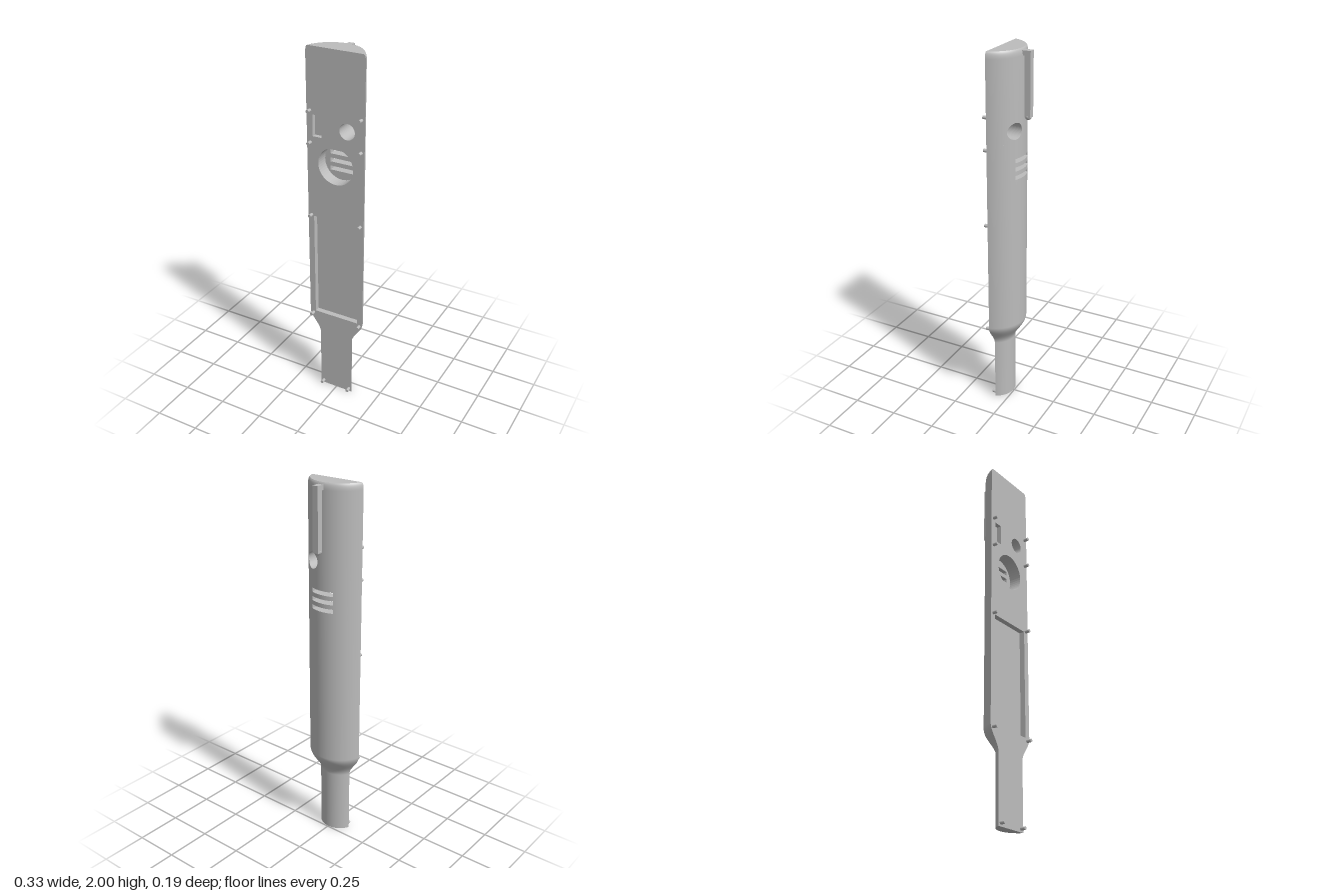
import * as THREE from 'three';

const AXIS = 0.114, FACE = 0.07;              // z of the turning axis and of the flat face
const R_BODY = 0.169, R_GRIP = 0.109;
const HOLE = { x: 0.065, y: 1.6, r: 0.043, half: 0.06 };
const SLOTS = [1.355, 1.4, 1.445], SLOT_W = 0.068, SLOT_H = 0.011;
const SPEAKER_FLOOR = 0.0;

// Radius along the height: grip, smooth shoulder, body, rounded top
function radius(y) {
  if (y > 1.965) {
    const u = Math.min(1, (y - 1.965) / 0.035);
    return R_BODY - 0.011 * (1 - Math.sqrt(1 - u * u));
  }
  return R_GRIP + (R_BODY - R_GRIP) * THREE.MathUtils.smoothstep(y, 0.36, 0.49);
}
const maxAngle = (r) => Math.acos((AXIS - FACE) / r);
const halfWidth = (y) => radius(y) * Math.sin(maxAngle(radius(y)));
const backZ = (x, y) => AXIS - Math.sqrt(radius(y) ** 2 - x * x);
const tOf = (x) => Math.asin(x / R_BODY) / maxAngle(R_BODY);

// Point and normal on the curved back, t runs from -1 to 1 across
function backPoint(t, y) {
  const r = radius(y), a = t * maxAngle(r);
  const slope = (radius(Math.min(y + 0.002, 1.999)) - radius(Math.min(y - 0.002, 1.995))) / 0.004;
  return {
    p: new THREE.Vector3(r * Math.sin(a), y, AXIS - r * Math.cos(a)),
    n: new THREE.Vector3(Math.sin(a), -slope, -Math.cos(a)).normalize(),
  };
}

// Geometry from quads of {p, n}; flat normals when n is missing
function fromQuads(quads) {
  const pos = [], nor = [];
  for (const q of quads) {
    const flat = new THREE.Vector3().subVectors(q[2].p, q[0].p)
      .cross(new THREE.Vector3().subVectors(q[3].p, q[1].p)).normalize();
    for (const i of [0, 1, 2, 0, 2, 3]) {
      pos.push(...q[i].p.toArray());
      nor.push(...(q[i].n || flat).toArray());
    }
  }
  const g = new THREE.BufferGeometry();
  g.setAttribute('position', new THREE.Float32BufferAttribute(pos, 3));
  g.setAttribute('normal', new THREE.Float32BufferAttribute(nor, 3));
  return g;
}
const at = (x, y, z) => ({ p: new THREE.Vector3(x, y, z) });

const rect = (x0, x1, y0, y1) => [[x0, y0], [x1, y0], [x1, y1], [x0, y1]].map(([x, y]) => new THREE.Vector2(x, y));
const circle = (x, y, r, n = 48) => Array.from({ length: n }, (_, i) => {
  const a = (i / n) * Math.PI * 2;
  return new THREE.Vector2(x + r * Math.cos(a), y + r * Math.sin(a));
});

// Inward-facing walls around an anticlockwise loop, from z = front to back(x, y)
function walls(loop, front, back, steps = 1) {
  const quads = [];
  loop.forEach((a, i) => {
    const b = loop[(i + 1) % loop.length];
    for (let k = 0; k < steps; k++) {
      const p = a.clone().lerp(b, k / steps), q = a.clone().lerp(b, (k + 1) / steps);
      quads.push([at(p.x, p.y, front), at(q.x, q.y, front), at(q.x, q.y, back(q.x, q.y)), at(p.x, p.y, back(p.x, p.y))]);
    }
  });
  return fromQuads(quads);
}

// Flat plate facing forward, with openings
function plate(outline, holes, z) {
  const s = new THREE.Shape(outline);
  s.holes = holes.map((h) => new THREE.Path(h));
  return new THREE.ShapeGeometry(s).translate(0, 0, z);
}

function sortedUnique(list) {
  return list.sort((a, b) => a - b).filter((v, i, l) => i === 0 || v - l[i - 1] > 1e-5);
}

export function createModel() {
  const group = new THREE.Group();
  const grey = new THREE.MeshStandardMaterial({ color: 0xbcbcbc, side: THREE.DoubleSide });
  grey.name = 'grey plastic';
  const add = (name, geometry, x = 0, y = 0, z = 0) => {
    const m = new THREE.Mesh(geometry, grey);
    m.name = name;
    m.position.set(x, y, z);
    group.add(m);
  };

  // Grid lines across and up the back
  const { x: hx, y: hy, r: hr, half } = HOLE;
  const ts = [], ys = [0, 2, hy - half, hy + half];
  for (let i = 0; i <= 32; i++) ts.push(-1 + i / 16);
  ts.push(tOf(-SLOT_W), tOf(SLOT_W), tOf(hx - half), tOf(hx + half));
  for (let i = 0; i <= 14; i++) ys.push(0.36 + (0.13 * i) / 14);
  for (let i = 0; i <= 8; i++) ys.push(1.965 + 0.035 * Math.sin((i / 8) * Math.PI / 2));
  SLOTS.forEach((y) => ys.push(y - SLOT_H, y + SLOT_H));
  const across = sortedUnique(ts), up = sortedUnique(ys);

  // Curved back with the vents and the button hole left open
  const isOpen = (t, y) => {
    const inSlot = Math.abs(t) < tOf(SLOT_W) && SLOTS.some((s) => Math.abs(y - s) < SLOT_H);
    const inHole = t > tOf(hx - half) && t < tOf(hx + half) && Math.abs(y - hy) < half;
    return inSlot || inHole;
  };
  const back = [];
  for (let j = 0; j < up.length - 1; j++) {
    for (let i = 0; i < across.length - 1; i++) {
      const [t0, t1, y0, y1] = [across[i], across[i + 1], up[j], up[j + 1]];
      if (isOpen((t0 + t1) / 2, (y0 + y1) / 2)) continue;
      back.push([backPoint(t0, y0), backPoint(t0, y1), backPoint(t1, y1), backPoint(t1, y0)]);
    }
  }
  // Patch between the square opening and the round hole
  const ringPoint = (k, f) => {
    const a = (k / 48) * Math.PI * 2, c = Math.cos(a), s = Math.sin(a);
    const d = THREE.MathUtils.lerp(hr, half / Math.max(Math.abs(c), Math.abs(s)), f);
    return backPoint(tOf(hx + d * c), hy + d * s);
  };
  for (let k = 0; k < 48; k++) {
    for (let f = 0; f < 3; f++) {
      back.push([ringPoint(k, f / 3), ringPoint(k + 1, f / 3), ringPoint(k + 1, (f + 1) / 3), ringPoint(k, (f + 1) / 3)]);
    }
  }
  add('curvedBack', fromQuads(back));

  // End caps
  for (const y of [0, 2]) {
    const cap = [];
    for (let i = 0; i < across.length - 1; i++) {
      const a = backPoint(across[i], y).p, b = backPoint(across[i + 1], y).p;
      const q = [at(a.x, y, FACE), at(b.x, y, FACE), { p: b }, { p: a }];
      cap.push(y ? q : q.reverse());
    }
    add(y ? 'topCap' : 'bottomCap', fromQuads(cap));
  }

  // Flat face with its openings
  const battery = rect(-0.13, 0.13, 0.49, 1.09);
  const switchBay = rect(-0.13, -0.08, 1.54, 1.655);
  const speaker = circle(0, 1.4, 0.1);
  const bore = circle(hx, hy, hr);
  const outline = [
    ...up.map((y) => new THREE.Vector2(halfWidth(y), y)),
    ...up.slice().reverse().map((y) => new THREE.Vector2(-halfWidth(y), y)),
  ];
  add('flatFace', plate(outline, [battery, switchBay, speaker, bore], FACE));

  // Recesses, bore and vents
  const slots = SLOTS.map((y) => rect(-SLOT_W, SLOT_W, y - SLOT_H, y + SLOT_H));
  add('batteryBayWalls', walls(battery, FACE, () => 0.04));
  add('batteryBayFloor', plate(battery, [], 0.04));
  add('switchBayWalls', walls(switchBay, FACE, () => 0.045));
  add('switchBayFloor', plate(switchBay, [], 0.045));
  add('speakerWall', walls(speaker, FACE, () => SPEAKER_FLOOR));
  add('speakerFloor', plate(speaker, slots, SPEAKER_FLOOR));
  add('buttonBore', walls(bore, FACE, backZ));
  slots.forEach((s) => add('ventWalls', walls(s, SPEAKER_FLOOR, backZ, 12)));

  // Locating pegs
  const peg = new THREE.CylinderGeometry(0.009, 0.009, 0.036, 16).rotateX(Math.PI / 2);
  for (const side of [-1, 1]) {
    for (const y of [0.475, 1.095, 1.505, 1.675]) add('peg', peg, side * 0.144, y, 0.078);
    add('peg', peg, side * 0.082, 0.018, 0.078);
  }

  // Belt clip: bar, bridge to the body, rounded tip
  add('clipBar', new THREE.BoxGeometry(0.033, 0.33, 0.032), 0, 1.825, -0.08);
  add('clipBridge', new THREE.BoxGeometry(0.033, 0.025, 0.03), 0, 1.9775, -0.06);
  add('clipTip', new THREE.SphereGeometry(0.018, 20, 14), 0, 1.664, -0.078);

  return group;
}
